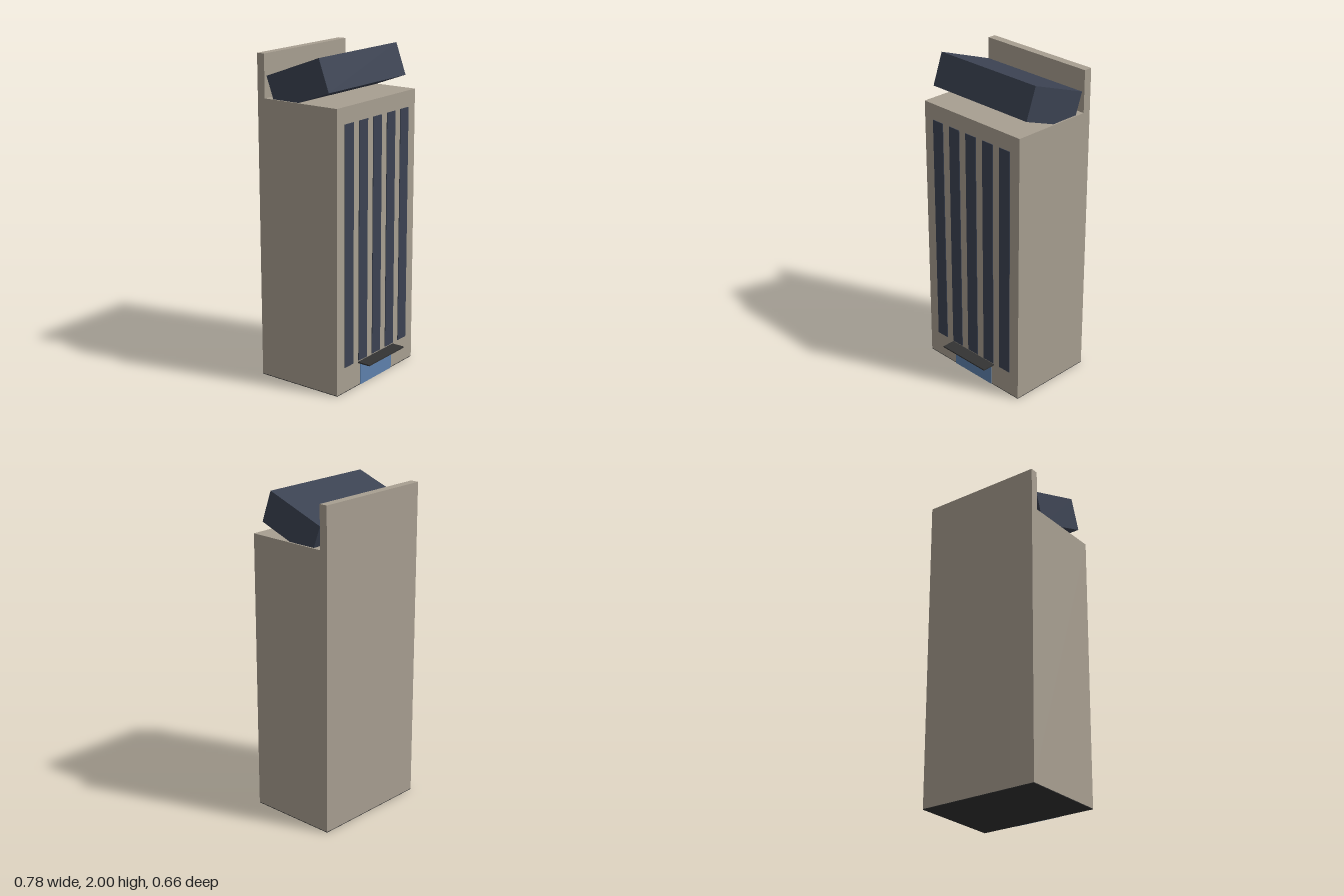
import * as THREE from 'three';

const material = (name, color) => {
  const m = new THREE.MeshStandardMaterial({ color });
  m.name = name;
  return m;
};

export function createModel() {
  const stone = material('warm grey stone', 0xa89f91);
  const navy = material('dark navy glass', 0x3b4252);
  const blue = material('blue door glass', 0x5e81ac);
  const dark = material('dark grey metal', 0x333333);

  const model = new THREE.Group();
  model.name = 'towerBuilding';

  // Box given by its [min, max] extent on each axis
  const box = (name, mat, [x0, x1], [y0, y1], [z0, z1]) => {
    const mesh = new THREE.Mesh(new THREE.BoxGeometry(x1 - x0, y1 - y0, z1 - z0), mat);
    mesh.position.set((x0 + x1) / 2, (y0 + y1) / 2, (z0 + z1) / 2);
    mesh.name = name;
    model.add(mesh);
    return mesh;
  };

  // Main tower on a thin base, with a raised wall along the back of the roof
  box('basePlate', dark, [-0.39, 0.39], [0, 0.004], [-0.33, 0.243]);
  box('towerBody', stone, [-0.39, 0.39], [0.004, 1.73], [-0.33, 0.243]);
  box('backParapet', stone, [-0.39, 0.39], [1.73, 1.99], [-0.33, -0.278]);

  // Roof block tipped up at the front, its rear edge sunk into the roof
  const roof = new THREE.Mesh(new THREE.BoxGeometry(0.76, 0.203, 0.405), navy);
  roof.position.set(0, 1.835, -0.045);
  roof.rotation.x = -THREE.MathUtils.degToRad(20);
  roof.name = 'tiltedRoofBlock';
  model.add(roof);

  // Five tall window strips
  for (let i = -2; i <= 2; i++) {
    const x = i * 0.138;
    box('windowStrip', navy, [x - 0.042, x + 0.042], [0.16, 1.63], [0.243, 0.247]);
  }

  // Entrance door under a thin canopy
  box('entranceDoor', blue, [-0.16, 0.16], [0, 0.145], [0.243, 0.247]);
  box('entranceCanopy', dark, [-0.183, 0.183], [0.145, 0.153], [0.243, 0.327]);

  return model;
}
